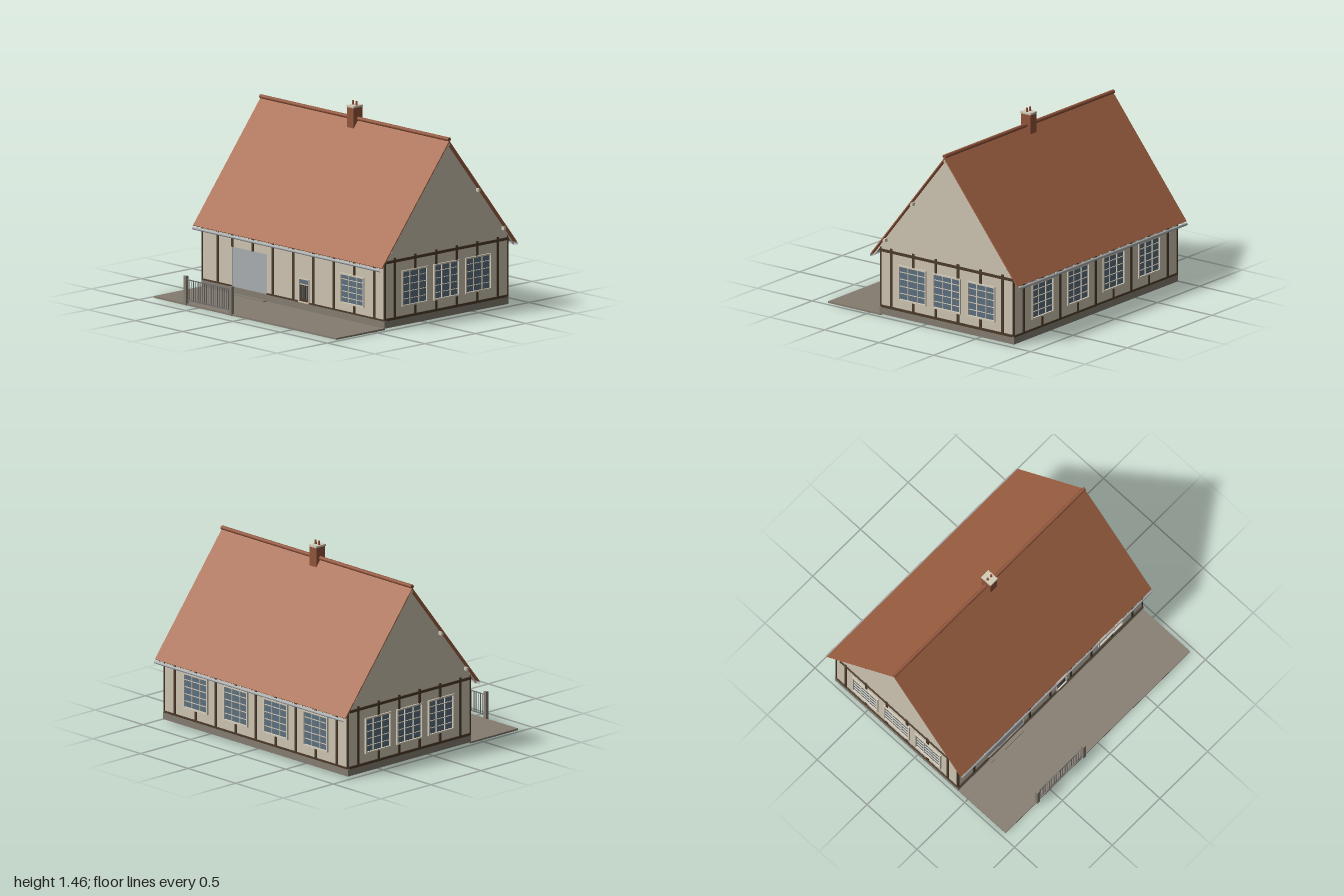
import * as THREE from 'three';

const mat = (name, color) => {
  const m = new THREE.MeshStandardMaterial({ color });
  m.name = name;
  return m;
};
const M = {
  wall: mat('plaster', 0xcdc4b1), frame: mat('pale trim', 0xd3cab7), timber: mat('dark timber', 0x4b3a2a),
  stone: mat('stone', 0x857c70), roof: mat('roof tile', 0xa56545), brick: mat('brick', 0x91543a),
  glass: mat('glass', 0x5b6f80), metal: mat('light metal', 0xaaadb0), iron: mat('iron', 0x6a6a6c),
};
M.roof.side = M.metal.side = THREE.DoubleSide;

const X = 0.965, FRONT = 0.4, BACK = -0.82, RIDGE = -0.21, HALF = 0.61;
const EAVE = { d: 0.668, y: 0.475 }, APEX = 1.318;

function add(parent, name, geo, material, x = 0, y = 0, z = 0) {
  const m = new THREE.Mesh(geo, material);
  m.name = name;
  m.position.set(x, y, z);
  parent.add(m);
  return m;
}
const box = (parent, name, material, w, h, d, x, y, z) =>
  add(parent, name, new THREE.BoxGeometry(w, h, d), material, x, y, z);

// Box given by its edges in the wall plane and its depth range
const slab = (parent, name, material, x0, x1, y0, y1, z0, z1) =>
  box(parent, name, material, x1 - x0, y1 - y0, z1 - z0, (x0 + x1) / 2, (y0 + y1) / 2, (z0 + z1) / 2);

const rectPath = (x0, x1, y0, y1, C = THREE.Path) =>
  new C([[x0, y0], [x1, y0], [x1, y1], [x0, y1]].map(p => new THREE.Vector2(...p)));

// Wall sheet with openings [x0, x1, y0, y1]; the outer face lies at z = 0
function wallSheet(parent, outline, openings) {
  const shape = new THREE.Shape(outline.map(p => new THREE.Vector2(...p)));
  openings.forEach(o => shape.holes.push(rectPath(...o)));
  add(parent, 'wall', new THREE.ExtrudeGeometry(shape, { depth: 0.012, bevelEnabled: false }), M.wall, 0, 0, -0.012);
}

function frameRing(parent, x0, x1, y0, y1, b, depth) {
  const shape = rectPath(x0, x1, y0, y1, THREE.Shape);
  shape.holes.push(rectPath(x0 + b, x1 - b, y0 + b, y1 - b));
  add(parent, 'frame', new THREE.ExtrudeGeometry(shape, { depth, bevelEnabled: false }), M.frame, 0, 0, -0.002);
}

// Glazed window with three columns and five rows of panes
function paneWindow(parent, [x0, x1, y0, y1]) {
  const g = new THREE.Group();
  g.name = 'window';
  parent.add(g);
  slab(g, 'glass', M.glass, x0, x1, y0, y1, -0.012, -0.004);
  frameRing(g, x0, x1, y0, y1, 0.011, 0.014);
  for (let i = 1; i < 3; i++) {
    const x = x0 + (x1 - x0) * i / 3;
    slab(g, 'mullion', M.frame, x - 0.003, x + 0.003, y0 + 0.01, y1 - 0.01, -0.005, 0.004);
  }
  for (let i = 1; i < 5; i++) {
    const y = y0 + (y1 - y0) * i / 5;
    slab(g, 'glazingBar', M.frame, x0 + 0.01, x1 - 0.01, y - 0.002, y + 0.002, -0.005, 0.003);
  }
}

// Upright timber, broken where it meets an opening
function post(parent, x, top, openings, w = 0.02) {
  const o = openings.find(q => x + w / 2 > q[0] && x - w / 2 < q[1]);
  if (!o) return slab(parent, 'post', M.timber, x - w / 2, x + w / 2, 0.07, top, -0.001, 0.006);
  slab(parent, 'upperPost', M.timber, x - w / 2, x + w / 2, o[3], top, -0.001, 0.006);
  if (o[2] > 0.08) slab(parent, 'lowerPost', M.timber, x - w / 2, x + w / 2, 0.07, o[2], -0.001, 0.006);
}

function facade(root, name, half, outline, windows, others, posts, top) {
  const g = new THREE.Group();
  g.name = name;
  root.add(g);
  const openings = [...windows, ...others];
  wallSheet(g, outline, openings);
  windows.forEach(w => paneWindow(g, w));
  posts.forEach(x => post(g, x, top, openings));
  for (const s of [-1, 1]) post(g, s * (half - 0.003), top, [], 0.008);
  // Plinth and sill timber
  slab(g, 'plinth', M.stone, -half - 0.005, half + 0.005, 0.012, 0.065, -0.008, 0.006);
  return g;
}

function buildWalls(root) {
  const H = 0.535;
  const rect = [[-X, 0.012], [X, 0.012], [X, H], [-X, H]];
  const garage = [-0.65, -0.28, 0.065, 0.36], door = [0.06, 0.17, 0.065, 0.245];

  // Front wall with garage, door and one window
  const front = facade(root, 'frontWall', X, rect, [[0.5, 0.755, 0.13, 0.355]], [garage, door],
    [-0.8, -0.645, -0.43, -0.215, 0, 0.215, 0.43, 0.645, 0.86], 0.53);
  front.position.z = FRONT;
  for (const [a, b] of [[-X, garage[0]], [garage[1], door[0]], [door[1], X]])
    slab(front, 'sillBeam', M.timber, a, b, 0.064, 0.075, -0.001, 0.007);
  slab(front, 'garageDoor', M.metal, ...garage, -0.011, -0.002);
  slab(front, 'garageStep', M.stone, garage[0], garage[1], 0.01, 0.02, 0, 0.035);
  slab(front, 'doorPanel', M.timber, ...door, -0.011, -0.003);
  frameRing(front, ...door, 0.007, 0.011);
  slab(front, 'transomGlass', M.glass, 0.069, 0.161, 0.205, 0.235, -0.004, 0);
  slab(front, 'transomBar', M.frame, 0.067, 0.163, 0.197, 0.203, -0.004, 0.004);
  slab(front, 'doorGlass', M.glass, 0.088, 0.142, 0.095, 0.185, -0.004, 0);
  for (const x of [0.102, 0.115, 0.128]) slab(front, 'doorBar', M.timber, x - 0.002, x + 0.002, 0.095, 0.185, -0.002, 0.003);

  // Back wall with four windows
  const backWins = [-0.63, -0.21, 0.21, 0.63].map(x => [x - 0.128, x + 0.128, 0.147, 0.415]);
  const back = facade(root, 'backWall', X, rect, backWins, [],
    [-0.85, -0.63, -0.42, -0.21, 0, 0.21, 0.42, 0.63, 0.85], 0.53);
  back.position.z = BACK;
  back.rotation.y = Math.PI;
  slab(back, 'sillBeam', M.timber, -X, X, 0.064, 0.078, -0.001, 0.007);

  // Gable walls, mirrored
  const gable = [[-HALF, 0.012], [HALF, 0.012], [HALF, H], [0, 1.3], [-HALF, H]];
  const sideWins = [-0.315, 0, 0.315].map(x => [x - 0.128, x + 0.128, 0.147, 0.415]);
  for (const s of [-1, 1]) {
    const g = facade(root, s > 0 ? 'leftGable' : 'rightGable', HALF, gable, sideWins, [],
      [-0.51, -0.307, -0.102, 0.102, 0.307, 0.51], 0.522);
    g.position.set(s * X, 0, RIDGE);
    g.rotation.y = s * Math.PI / 2;
    slab(g, 'sillBeam', M.timber, -HALF + 0.01, HALF - 0.01, 0.064, 0.082, -0.001, 0.008);
    slab(g, 'tieBeam', M.timber, -HALF + 0.01, HALF - 0.01, 0.487, 0.507, -0.001, 0.008);
    for (const [u, y] of [[0, 1.292], [0.305, 0.905], [-0.305, 0.905], [0.558, 0.582], [-0.558, 0.582]])
      slab(g, 'purlinEnd', M.frame, u - 0.01, u + 0.01, y - 0.012, y + 0.012, -0.01, 0.03);
  }
}

function buildRoof(root) {
  const g = new THREE.Group();
  g.name = 'roof';
  root.add(g);
  const rise = APEX - EAVE.y, len = Math.hypot(rise, EAVE.d), pitch = Math.atan2(rise, EAVE.d);
  for (const s of [-1, 1]) {
    const side = new THREE.Group();
    side.name = s > 0 ? 'frontSlope' : 'backSlope';
    side.position.z = RIDGE;
    side.rotation.y = s > 0 ? 0 : Math.PI;
    g.add(side);
    const sheet = box(side, 'tiles', M.roof, 2, 0.008, len, 0, (APEX + EAVE.y) / 2 - 0.006, EAVE.d / 2);
    sheet.rotation.x = pitch;
    // Rafter tails under the eave
    for (let i = 0; i < 19; i++) {
      const r = box(side, 'rafterTail', M.frame, 0.008, 0.01, 0.115, -0.963 + i * 0.107, 0.49, 0.637);
      r.rotation.x = pitch;
    }
    // Half-round gutter
    const gutter = add(side, 'gutter',
      new THREE.CylinderGeometry(0.011, 0.011, 1.99, 10, 1, true, Math.PI / 2, Math.PI), M.metal, 0, 0.452, EAVE.d + 0.006);
    gutter.rotation.set(0, 0, Math.PI / 2);
    gutter.geometry.rotateY(Math.PI);
    gutter.geometry.rotateY(-Math.PI / 2);
    gutter.geometry.rotateY(gutterTurn);
  }
  // Ridge tiles
  const ridge = add(g, 'ridgeTiles', new THREE.CylinderGeometry(0.015, 0.015, 2, 12), M.brick, 0, 1.327, RIDGE);
  ridge.rotation.z = Math.PI / 2;
}
// Turns the gutter trough so that it opens upwards
const gutterTurn = Math.PI / 2;

function buildChimney(root) {
  const g = new THREE.Group();
  g.name = 'chimney';
  g.position.z = RIDGE + 0.002;
  root.add(g);
  box(g, 'stack', M.brick, 0.07, 0.16, 0.088, 0, 1.33, 0);
  box(g, 'cap', M.frame, 0.076, 0.014, 0.096, 0, 1.417, 0);
  for (const x of [-0.018, 0.018])
    add(g, 'pot', new THREE.CylinderGeometry(0.007, 0.009, 0.034, 12), M.brick, x, 1.438, 0);
}

function buildYard(root) {
  const g = new THREE.Group();
  g.name = 'yard';
  root.add(g);
  slab(g, 'paving', M.stone, -0.967, 0.967, 0, 0.013, FRONT, 0.878);
  for (const x of [-0.632, -0.147]) box(g, 'fencePost', M.stone, 0.026, 0.215, 0.026, x, 0.11, 0.876);
  for (const y of [0.04, 0.192]) box(g, 'fenceRail', M.iron, 0.47, 0.006, 0.006, -0.39, y, 0.876);
  for (let i = 1; i < 20; i++) box(g, 'fenceBar', M.iron, 0.004, 0.155, 0.004, -0.62 + i * 0.0231, 0.115, 0.876);
}

export function createModel() {
  const root = new THREE.Group();
  root.name = 'house';
  buildWalls(root);
  buildRoof(root);
  buildChimney(root);
  buildYard(root);
  return root;
}
